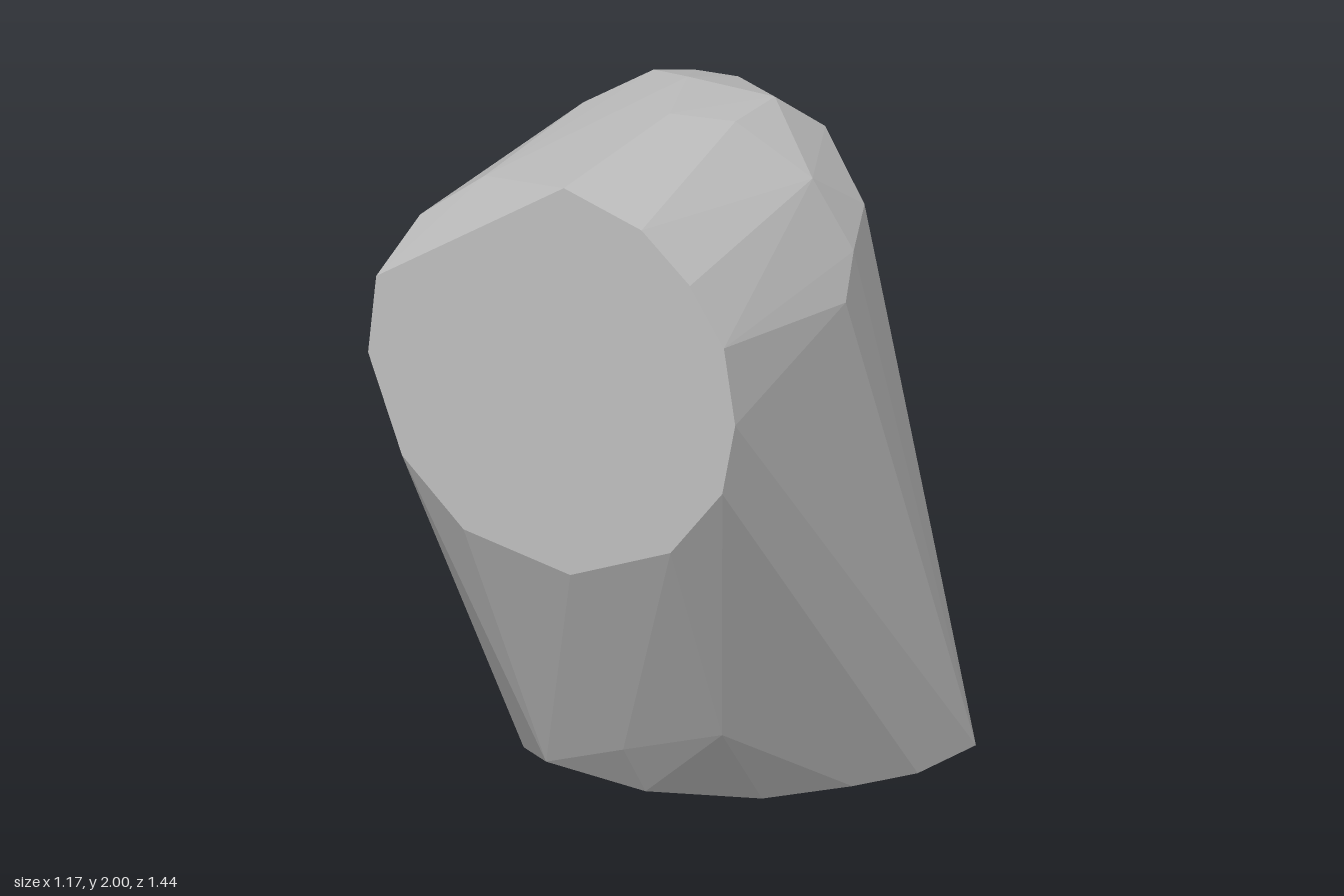
import * as THREE from 'three';
import { ConvexGeometry } from 'three/addons/geometries/ConvexGeometry.js';

const grey = new THREE.MeshStandardMaterial({ color: 0xbfbfbf });
grey.name = 'plain grey';

// Flat round mouth on the plane z = 0.72 (x, y)
const mouth = [
  [0.02, 2.0], [0.26, 1.93], [0.41, 1.8], [0.515, 1.64], [0.55, 1.42], [0.51, 1.21],
  [0.35, 1.0], [0.04, 0.865], [-0.29, 0.925], [-0.48, 1.1], [-0.585, 1.38], [-0.56, 1.61],
];

// Flat foot on the plane y = 0 (x, z)
const foot = [
  [-0.46, 0.1], [-0.44, -0.31], [-0.32, -0.47], [-0.08, -0.63], [0.2, -0.72],
  [0.43, -0.705], [0.585, -0.515], [0.54, -0.28], [0.43, -0.12], [0.26, 0.07],
];

// Chamfered lip between the foot and the sloping underside (x, y, z)
const toe = [
  [-0.52, 0.1, 0.05], [-0.23, 0.12, 0.38], [0.02, 0.05, 0.28],
  [0.02, 0.22, 0.4], [0.28, 0.29, 0.32],
];

// Faceted bend: crown, shoulders and back (x, y, z)
const bend = [
  [-0.47, 1.78, 0.64], [-0.27, 1.94, 0.64],
  [0.02, 1.995, 0.15], [0.16, 1.96, 0.04], [-0.31, 1.91, 0.04],
  [-0.08, 1.975, -0.12], [0.15, 1.94, -0.19], [-0.23, 1.93, -0.2],
  [-0.06, 1.885, -0.36], [-0.19, 1.875, -0.36], [0.22, 1.81, -0.34],
  [-0.13, 1.68, -0.465], [0.1, 1.74, -0.44], [-0.3, 1.72, -0.4],
  [0.37, 1.82, -0.01], [0.41, 1.67, -0.22], [0.48, 1.62, -0.04], [0.53, 1.53, 0.09],
  [-0.4, 1.8, -0.12], [-0.43, 1.7, -0.25], [-0.51, 1.66, 0.05],
  [-0.54, 1.5, -0.08], [-0.565, 1.45, 0.07], [-0.585, 1.52, 0.28],
];

export function createModel() {
  const points = [
    ...mouth.map(([x, y]) => new THREE.Vector3(x, y, 0.72)),
    ...foot.map(([x, z]) => new THREE.Vector3(x, 0, z)),
    ...[...toe, ...bend].map((p) => new THREE.Vector3(...p)),
  ];

  // One solid skin stretched around the mouth, bend and foot
  const body = new THREE.Mesh(new ConvexGeometry(points), grey);
  body.name = 'elbowBody';

  const group = new THREE.Group();
  group.name = 'elbowBlock';
  group.add(body);
  return group;
}
